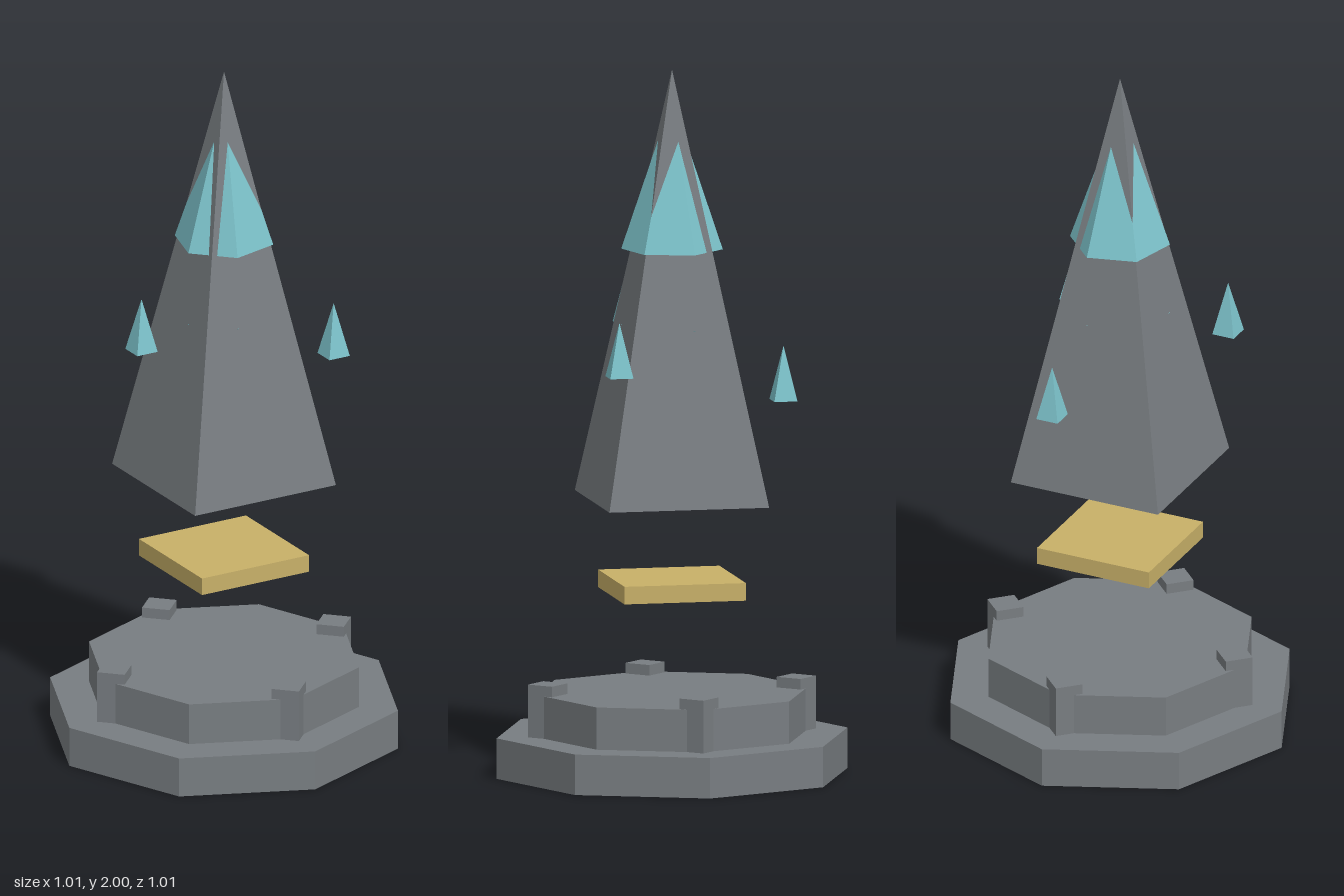
import * as THREE from 'three';

const paint = (name, color) => {
  const m = new THREE.MeshStandardMaterial({ color, flatShading: true });
  m.name = name;
  return m;
};

export function createModel() {
  const stone = paint('grey stone', 0x787d81);
  const gold = paint('pale gold', 0xc8b068);
  const crystal = paint('teal crystal', 0x7cc2ca);
  const model = new THREE.Group();

  const add = (name, geometry, material, x, y, z) => {
    const mesh = new THREE.Mesh(geometry, material);
    mesh.name = name;
    mesh.position.set(x, y, z);
    model.add(mesh);
    return mesh;
  };
  // Upright prism, cone or inverted cone between two heights
  const column = (name, material, sides, rBottom, rTop, y0, y1, x = 0, z = 0) =>
    add(name, new THREE.CylinderGeometry(rTop, rBottom, y1 - y0, sides), material, x, (y0 + y1) / 2, z);

  // Stepped octagonal base
  column('lowerStep', stone, 8, 0.505, 0.505, 0, 0.115);
  column('upperStep', stone, 8, 0.392, 0.392, 0.115, 0.235);

  // Corner blocks on the base
  for (const x of [-0.253, 0.253])
    for (const z of [-0.253, 0.253])
      add('cornerBlock', new THREE.BoxGeometry(0.08, 0.15, 0.08), stone, x, 0.19, z);

  // Floating plate and spire
  column('floatingPlate', gold, 4, 0.247, 0.247, 0.51, 0.56);
  column('spire', stone, 4, 0.325, 0, 0.78, 2);

  // Crystal core: a hexagonal cone breaking through the spire, and a buried
  // inverted cone of which only four tips show
  column('crystalCrown', crystal, 6, 0.143, 0, 1.49, 1.916).rotation.y = Math.PI / 6;
  column('crystalRoot', crystal, 6, 0, 0.143, 1.06, 1.275).rotation.y = Math.PI / 6;

  // Floating shards
  for (const [x, y, z] of [[-0.172, 1.24, 0.262], [0.312, 1.165, -0.025], [-0.172, 1.06, -0.262]])
    column('shard', crystal, 4, 0.047, 0, y, y + 0.155, x, z);

  return model;
}
